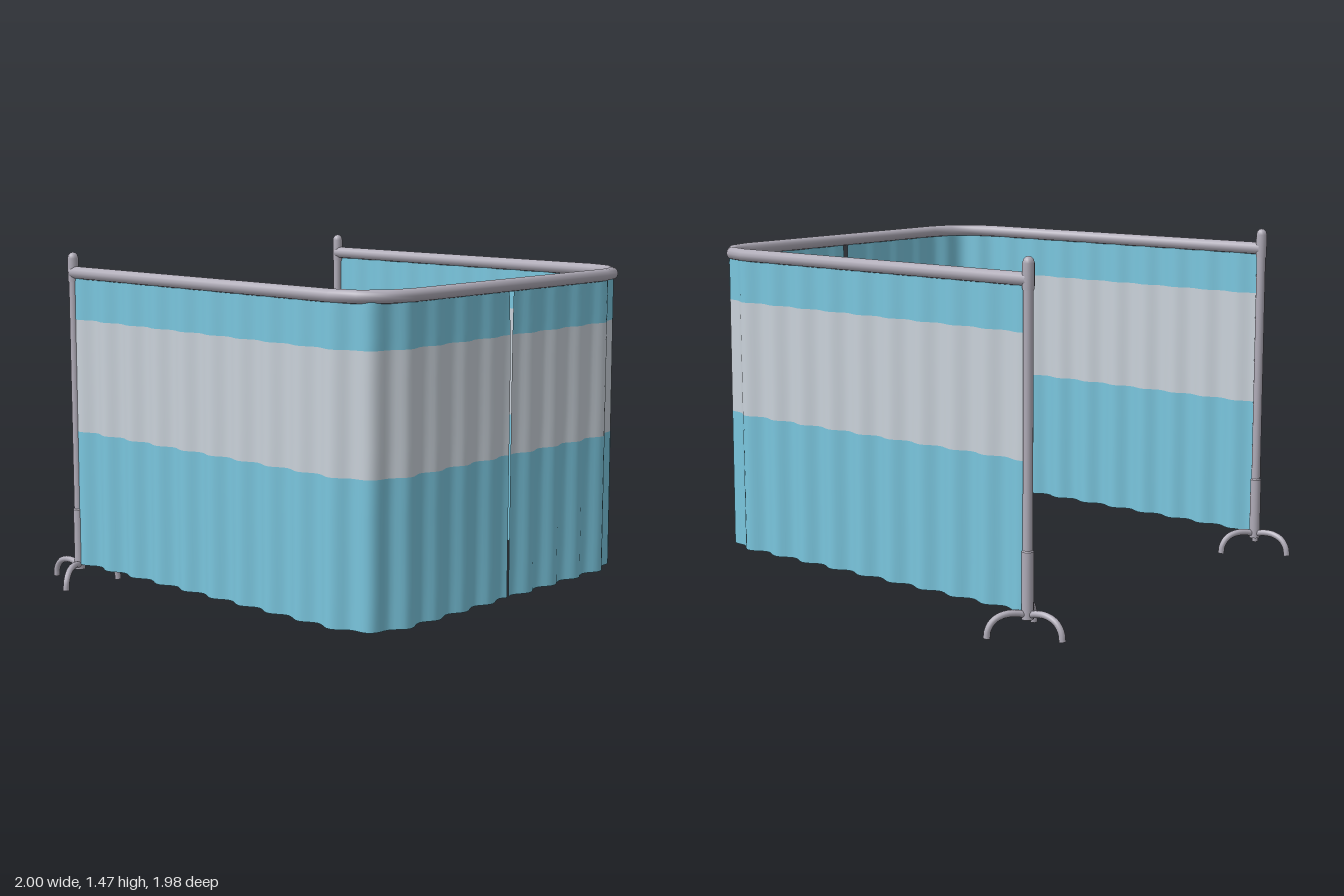
import * as THREE from 'three';

const X = 0.838, BACK = -0.805, R = 0.215;   // rail half width, rear end, corner radius
const CX = X - R, CZ = 0.745;                // corner arc centre
const RAIL_Y = 1.384;

// Tube curve that passes through its points with straight runs between them
class Polyline extends THREE.Curve {
  constructor(points) { super(); this.points = points; }
  getPointAt(u) {
    return this.points[Math.round(u * (this.points.length - 1))].clone();
  }
  getTangentAt(u) {
    const p = this.points, i = Math.round(u * (p.length - 1));
    const dir = (a, b) => p[b].clone().sub(p[a]).normalize();
    const t = new THREE.Vector3();
    if (i > 0) t.add(dir(i - 1, i));
    if (i < p.length - 1) t.add(dir(i, i + 1));
    return t.normalize();
  }
}

// Point and outward normal along half of the rail, from the rear post to the front centre
const SIDE = CZ - BACK, ARC = R * Math.PI / 2, LENGTH = SIDE + ARC + CX;
function railAt(s) {
  if (s < SIDE) return { x: X, z: BACK + s, nx: 1, nz: 0 };
  if (s < SIDE + ARC) {
    const a = (s - SIDE) / R, nx = Math.cos(a), nz = Math.sin(a);
    return { x: CX + R * nx, z: CZ + R * nz, nx, nz };
  }
  return { x: CX - (s - SIDE - ARC), z: CZ + R, nx: 0, nz: 1 };
}

// One horizontal colour band of a pleated curtain
function curtainBand(side, y0, y1) {
  const geo = new THREE.PlaneGeometry(1, 1, 150, 4);
  const pos = geo.attributes.position;
  for (let i = 0; i < pos.count; i++) {
    const u = pos.getX(i) + 0.5;
    const y = y0 + (y1 - y0) * (pos.getY(i) + 0.5);
    const gap = 0.005 + 0.009 * THREE.MathUtils.clamp((y - 1.14) / 0.22, 0, 1);
    const s = (side > 0 ? 1 - u : u) * (LENGTH - gap);
    const p = railAt(s);
    const wave = (0.016 - 0.004 * y) * Math.sin(s / LENGTH * 15 * Math.PI * 2);
    pos.setXYZ(i, side * (p.x + p.nx * wave), y, p.z + p.nz * wave);
  }
  geo.computeVertexNormals();
  return geo;
}

export function createModel() {
  const metal = new THREE.MeshStandardMaterial({ color: 0xb0acb8 });
  const blue = new THREE.MeshStandardMaterial({ color: 0x7ac6de, side: THREE.DoubleSide });
  const grey = new THREE.MeshStandardMaterial({ color: 0xcad2da, side: THREE.DoubleSide });
  metal.name = 'greyMetal';
  blue.name = 'blueFabric';
  grey.name = 'lightGreyFabric';

  const model = new THREE.Group();
  model.name = 'curtainScreen';
  const add = (parent, name, geo, mat) => {
    const mesh = new THREE.Mesh(geo, mat);
    mesh.name = name;
    parent.add(mesh);
    return mesh;
  };

  // Top rail with faceted corners
  const half = [new THREE.Vector3(X, RAIL_Y, BACK)];
  for (let k = 0; k <= 3; k++) {
    const p = railAt(SIDE + ARC * k / 3);
    half.push(new THREE.Vector3(p.x, RAIL_Y, p.z));
  }
  const mirrored = half.map(p => new THREE.Vector3(-p.x, p.y, p.z)).reverse();
  const path = [...half, ...mirrored];
  add(model, 'topRail', new THREE.TubeGeometry(new Polyline(path), path.length - 1, 0.027, 12), metal);

  // Post profile: lower sleeve, slimmer pole, domed cap
  const postProfile = [
    [0, 0.06], [0.024, 0.06], [0.024, 0.06], [0.024, 0.33], [0.024, 0.33], [0.02, 0.335],
    [0.02, 0.335], [0.02, 1.34], [0.024, 1.35], [0.024, 1.445], [0.02, 1.46], [0.011, 1.469], [0, 1.472],
  ].map(([r, y]) => new THREE.Vector2(r, y));

  // Arched foot, drawn outwards along +x
  const footCurve = new THREE.CatmullRomCurve3([
    [0, 0.075], [0.04, 0.087], [0.095, 0.088], [0.14, 0.07], [0.165, 0.035], [0.17, 0],
  ].map(([x, y]) => new THREE.Vector3(x, y, 0)));

  for (const side of [1, -1]) {
    const label = side > 0 ? 'left' : 'right';

    // Stand: post and three feet
    const stand = new THREE.Group();
    stand.name = label + 'Stand';
    stand.position.set(side * X, 0, BACK);
    model.add(stand);
    add(stand, 'post', new THREE.LatheGeometry(postProfile, 16), metal);
    for (let k = 0; k < 3; k++) {
      const foot = new THREE.Group();
      foot.name = 'foot';
      foot.rotation.y = Math.PI / 2 + k * Math.PI * 2 / 3;
      stand.add(foot);
      add(foot, 'footTube', new THREE.TubeGeometry(footCurve, 16, 0.014, 10), metal);
      const tip = add(foot, 'footTip', new THREE.CircleGeometry(0.014, 10), metal);
      tip.rotation.x = Math.PI / 2;
      tip.position.set(0.17, 0, 0);
    }

    // Curtain: blue, grey and blue bands
    const curtain = new THREE.Group();
    curtain.name = label + 'Curtain';
    model.add(curtain);
    add(curtain, 'lowerBand', curtainBand(side, 0.085, 0.685), blue);
    add(curtain, 'middleBand', curtainBand(side, 0.685, 1.18), grey);
    add(curtain, 'upperBand', curtainBand(side, 1.18, 1.365), blue);
  }
  return model;
}
